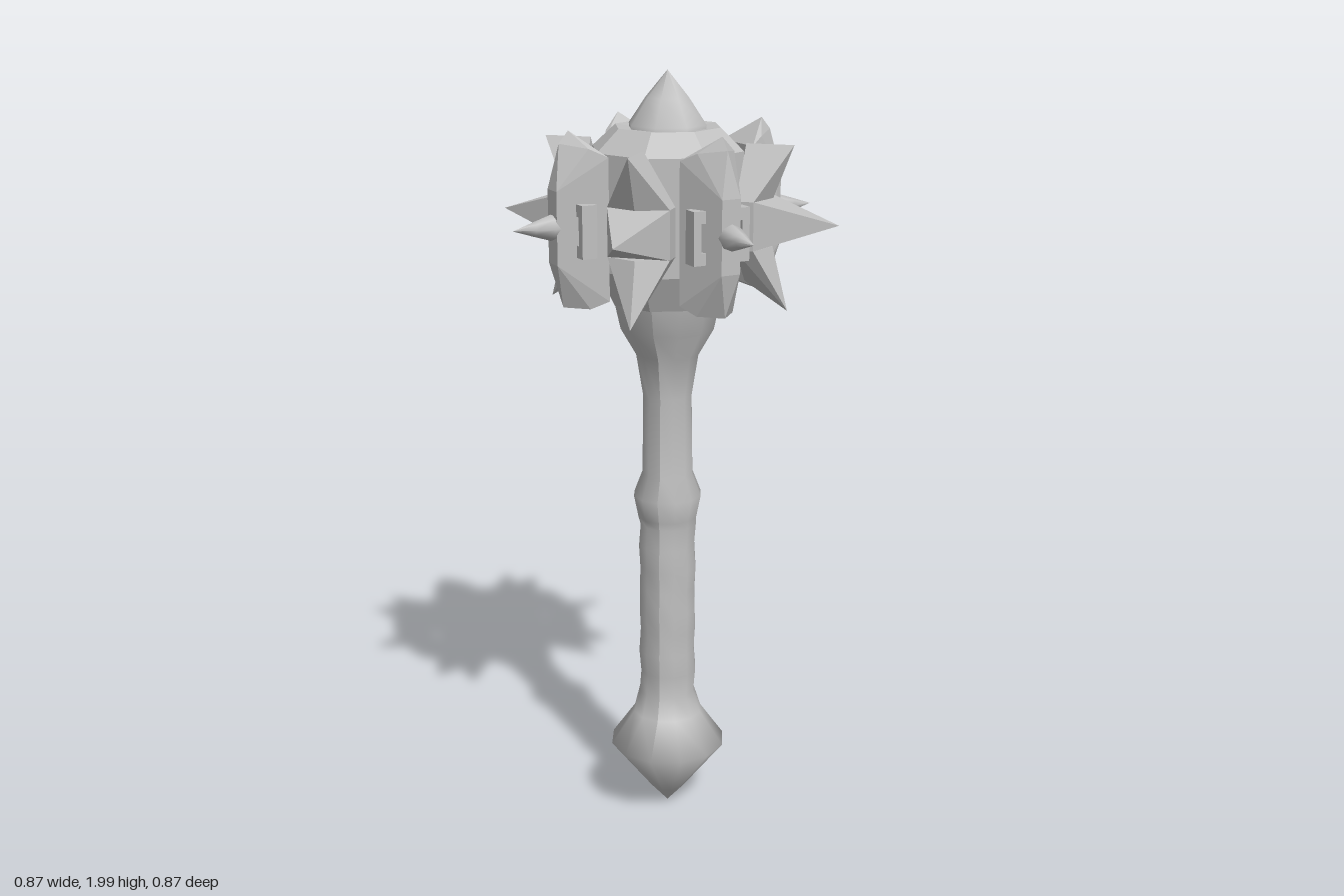
import * as THREE from 'three';
import { ConvexGeometry } from 'three/addons/geometries/ConvexGeometry.js';

const steel = new THREE.MeshStandardMaterial({ color: 0xc0c0c0 });
steel.name = 'steel grey';

function add(parent, name, geometry) {
  const mesh = new THREE.Mesh(geometry, steel);
  mesh.name = name;
  parent.add(mesh);
  return mesh;
}

// eight-sided turned part from [radius, height] pairs, bottom to top
function turned(points, sides = 8) {
  return new THREE.LatheGeometry(points.map(([r, y]) => new THREE.Vector2(r, y)), sides);
}

function faceted(geometry) {
  const flat = geometry.toNonIndexed();
  flat.computeVertexNormals();
  return flat;
}

// hull of points given as [sideways, height, outward]; a sideways value is mirrored
function hull(points) {
  const all = [];
  for (const [x, y, z] of points) {
    all.push(new THREE.Vector3(x, y, z));
    if (x > 0) all.push(new THREE.Vector3(-x, y, z));
  }
  return new ConvexGeometry(all);
}

// three-pointed flange, pointing along +z
function makeFlange() {
  const g = new THREE.Group();
  g.name = 'flange';
  const top = [[0.078, 1.70, 0.195], [0.078, 1.70, 0.24]];
  const low = [[0.078, 1.58, 0.195], [0.078, 1.58, 0.24]];
  add(g, 'upperPoint', hull([...top, [0, 1.83, 0.2], [0, 1.83, 0.32], [0, 1.70, 0.27]]));
  add(g, 'middlePoint', hull([...top, ...low, [0, 1.64, 0.435]]));
  add(g, 'lowerPoint', hull([...low, [0, 1.49, 0.2], [0, 1.42, 0.31], [0, 1.58, 0.27]]));
  return g;
}

// wedge block with a spike and a pair of clasps, pointing along +z
function makeStud() {
  const g = new THREE.Group();
  g.name = 'stud';
  add(g, 'wedgeBlock', hull([
    [0.075, 1.46, 0.2], [0.075, 1.81, 0.2], [0.05, 1.44, 0.24], [0.05, 1.83, 0.24],
    [0.025, 1.55, 0.315], [0.025, 1.73, 0.315],
    [0, 1.87, 0.27], [0, 1.84, 0.295], [0, 1.44, 0.29],
  ]));
  const spike = add(g, 'spike', turned([[0.022, 0.27], [0.032, 0.32], [0.018, 0.365], [0, 0.42]]));
  spike.rotation.x = Math.PI / 2;
  spike.position.y = 1.64;
  for (const side of [-1, 1]) {
    add(g, 'claspBar', new THREE.BoxGeometry(0.02, 0.13, 0.04)).position.set(side * 0.066, 1.635, 0.252);
    for (const y of [1.585, 1.685]) {
      add(g, 'claspHook', new THREE.BoxGeometry(0.05, 0.03, 0.04)).position.set(side * 0.05, y, 0.252);
    }
  }
  return g;
}

// handle with a spiral ripple on the grip
function makeHandle() {
  const profile = [[0, 0.01], [0.045, 0.06], [0.155, 0.2], [0.092, 0.29]];
  for (let y = 0.35; y < 0.84; y += 0.06) profile.push([0.075, y]);
  profile.push([0.078, 0.85], [0.09, 0.91], [0.067, 0.97], [0.064, 1.18],
    [0.082, 1.29], [0.122, 1.36], [0.142, 1.45]);
  const geo = turned(profile, 12);
  const p = geo.attributes.position;
  for (let i = 0; i < p.count; i++) {
    const y = p.getY(i);
    if (y < 0.34 || y > 0.84) continue;
    const k = 1 + 0.035 * Math.sin(Math.atan2(p.getX(i), p.getZ(i)) + y * 45);
    p.setX(i, p.getX(i) * k);
    p.setZ(i, p.getZ(i) * k);
  }
  geo.computeVertexNormals();
  return geo;
}

export function createModel() {
  const model = new THREE.Group();
  model.name = 'spikedMace';
  add(model, 'handle', makeHandle());

  // octagonal head core and its pointed cap
  add(model, 'headCore', faceted(turned([[0, 1.43], [0.15, 1.43], [0.195, 1.52], [0.195, 1.81], [0.135, 1.865], [0, 1.85]])));
  add(model, 'cap', turned([[0.098, 1.84], [0.1, 1.87], [0.055, 1.935], [0, 2]]));

  // flanges on the axes, studs on the diagonals
  for (let i = 0; i < 8; i++) {
    const part = i % 2 ? makeStud() : makeFlange();
    part.rotation.y = i * Math.PI / 4;
    model.add(part);
  }
  return model;
}
